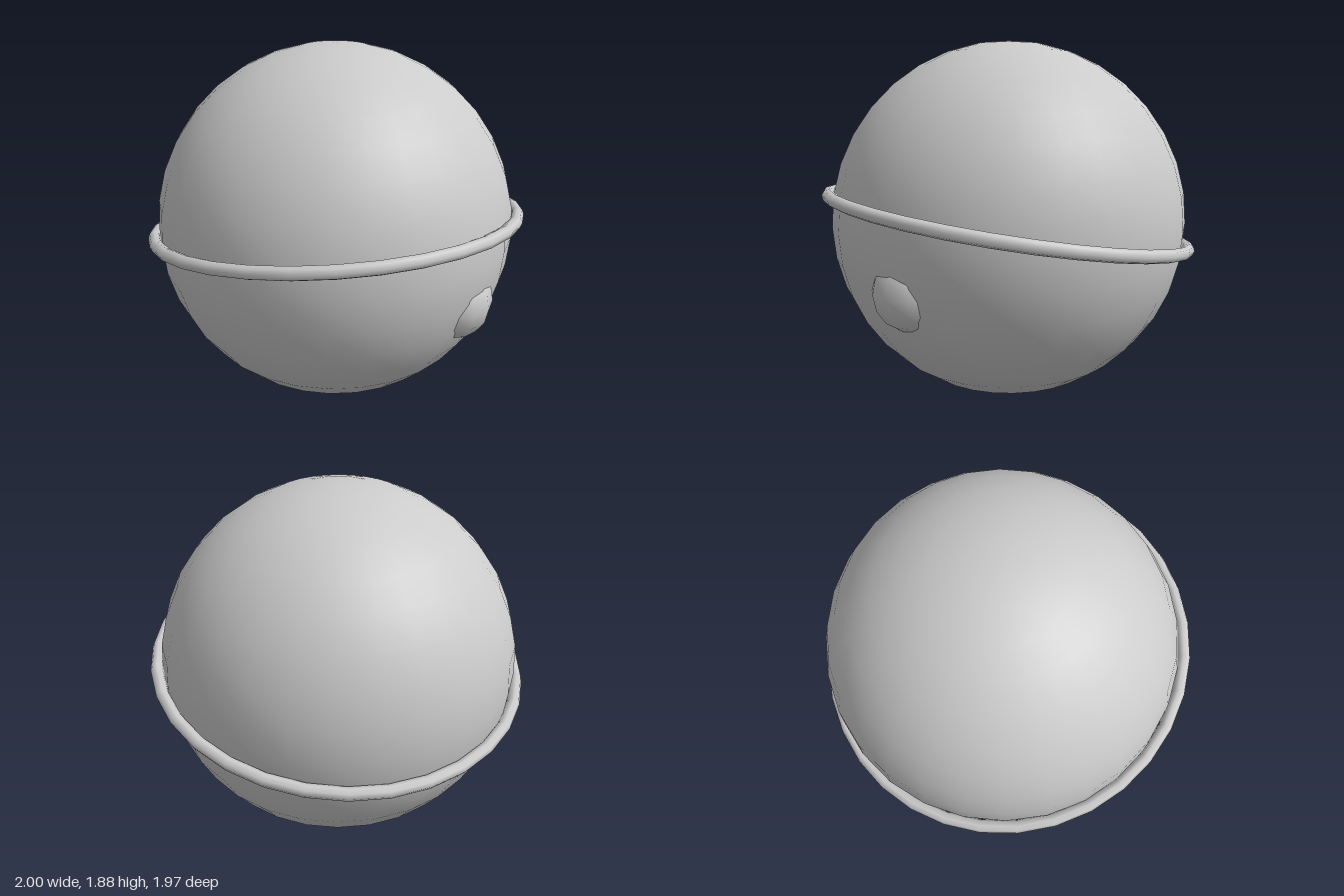
import * as THREE from 'three';

export function createModel() {
  const model = new THREE.Group();
  const material = new THREE.MeshStandardMaterial({ color: 0xcccccc });
  const radius = 0.94;
  const centre = new THREE.Vector3(0, radius, 0);

  function addPart(name, geometry, position) {
    const mesh = new THREE.Mesh(geometry, material);
    mesh.name = name;
    mesh.position.copy(position);
    model.add(mesh);
    return mesh;
  }

  // Main ball
  addPart('ball', new THREE.SphereGeometry(radius, 28, 18), centre);

  // Thin band around the middle, raised 10 degrees at the front
  const ring = addPart('ring', new THREE.TorusGeometry(0.967, 0.033, 8, 32), centre);
  ring.rotation.x = THREE.MathUtils.degToRad(80);

  // Small round button, mostly sunk into the lower front left of the ball
  const outward = new THREE.Vector3(0.42, -0.28, 0.86).normalize();
  addPart('button', new THREE.SphereGeometry(0.203, 12, 8), centre.clone().addScaledVector(outward, 0.79));

  return model;
}
